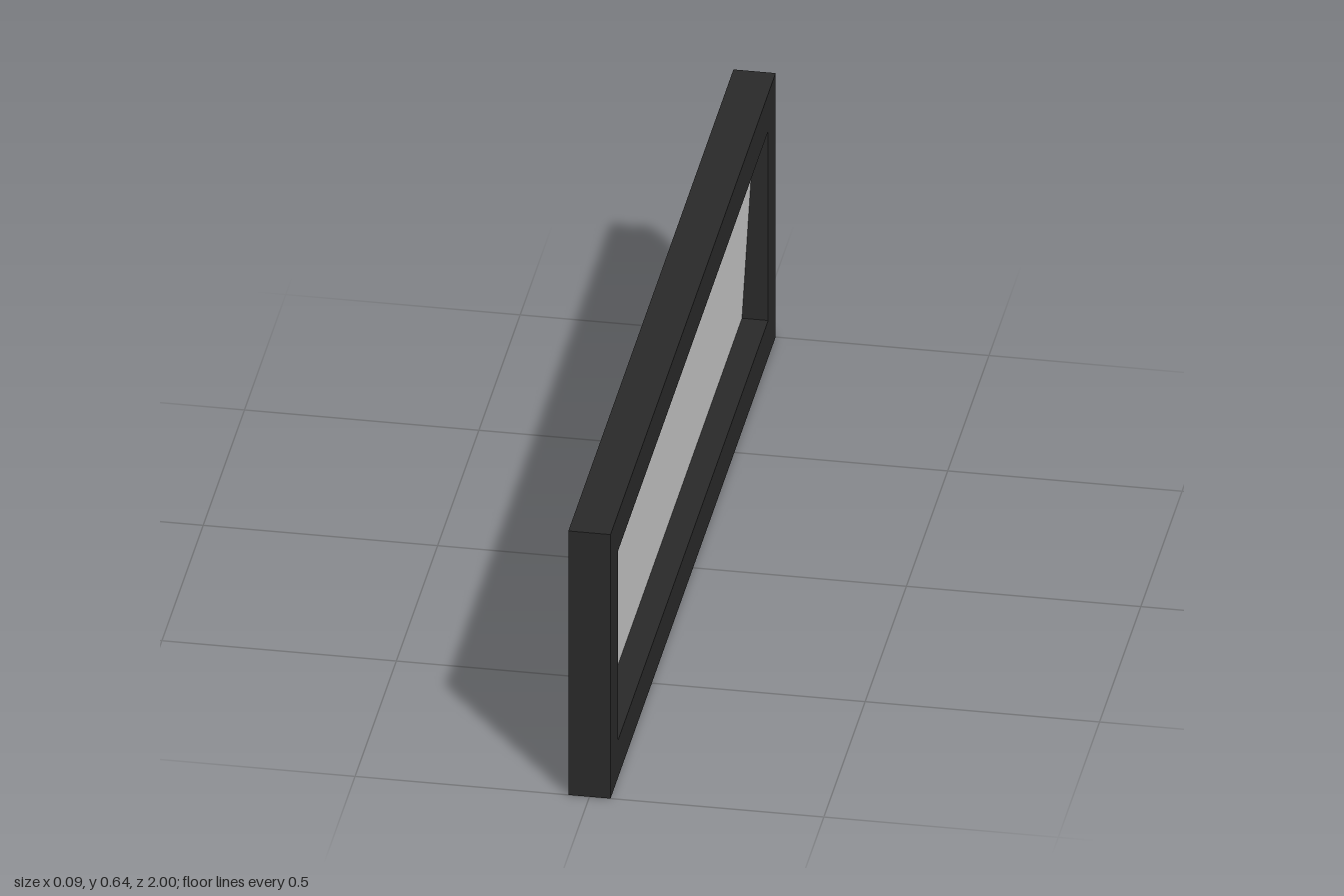
import * as THREE from 'three';

const HEIGHT = 0.637, LENGTH = 2, DEPTH = 0.09, BORDER = 0.09;

// Rectangle outline centred on the origin
function rectangle(PathType, w, h) {
  const path = new PathType();
  path.moveTo(-w / 2, -h / 2);
  path.lineTo(w / 2, -h / 2);
  path.lineTo(w / 2, h / 2);
  path.lineTo(-w / 2, h / 2);
  path.closePath();
  return path;
}

export function createModel() {
  const group = new THREE.Group();
  group.name = 'framedPane';

  const innerLength = LENGTH - 2 * BORDER;
  const innerHeight = HEIGHT - 2 * BORDER;

  // Frame: rectangular border running along z
  const outline = rectangle(THREE.Shape, LENGTH, HEIGHT);
  outline.holes.push(rectangle(THREE.Path, innerLength, innerHeight));
  const frameGeometry = new THREE.ExtrudeGeometry(outline, { depth: DEPTH, bevelEnabled: false });
  frameGeometry.translate(0, 0, -DEPTH / 2);
  frameGeometry.rotateY(-Math.PI / 2);
  const frame = new THREE.Mesh(frameGeometry, new THREE.MeshStandardMaterial({ color: 0x292929 }));
  frame.name = 'frame';
  frame.position.y = HEIGHT / 2;
  group.add(frame);

  // Thin pane, its top edge tilted towards +x
  const tilt = Math.atan2(0.026, innerHeight);
  const pane = new THREE.Mesh(
    new THREE.BoxGeometry(0.004, innerHeight / Math.cos(tilt), innerLength),
    new THREE.MeshStandardMaterial({ color: 0xcccccc })
  );
  pane.name = 'pane';
  pane.position.y = HEIGHT / 2;
  pane.rotation.z = -tilt;
  group.add(pane);

  return group;
}
